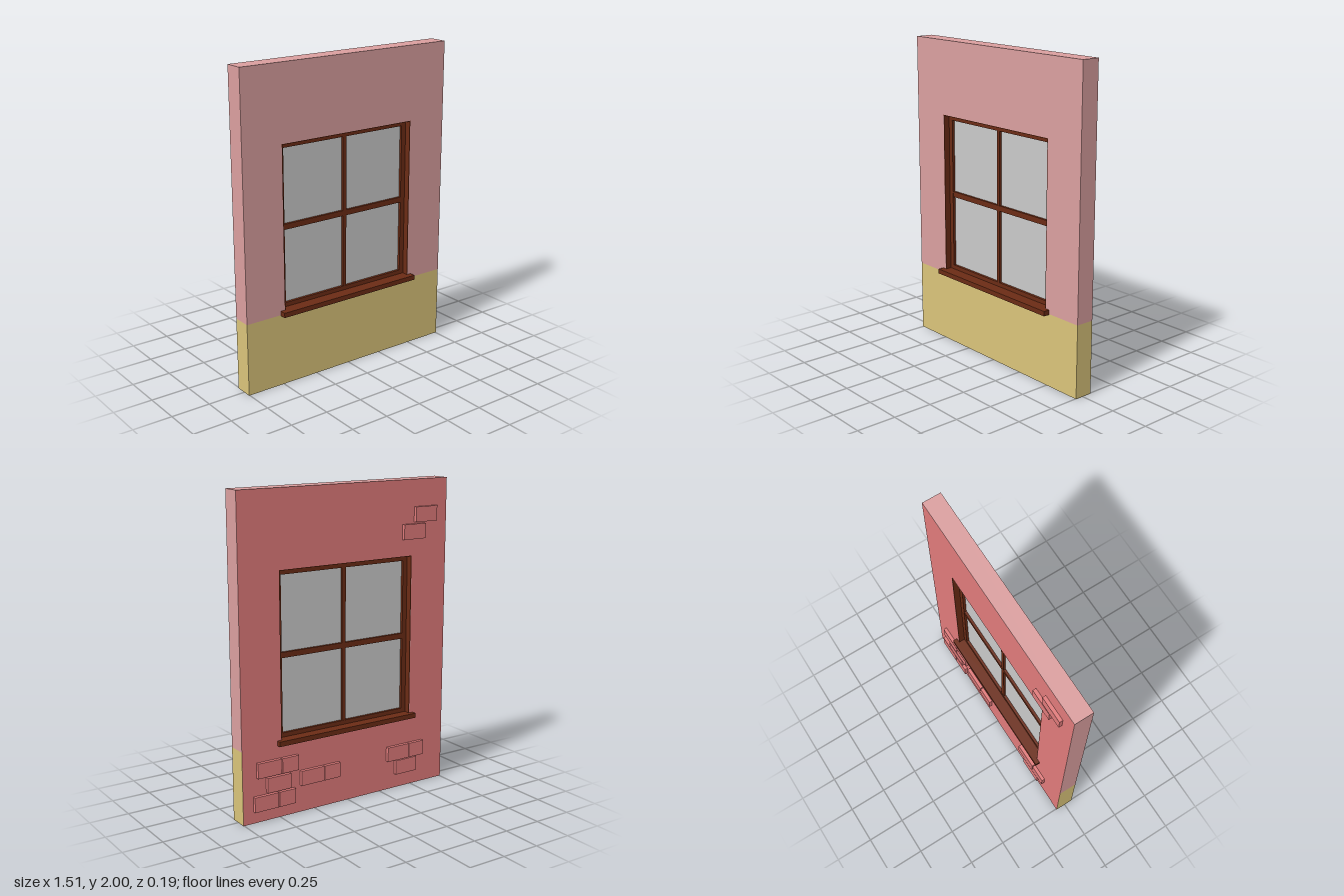
import * as THREE from 'three';

export function createModel() {
  const root = new THREE.Group();
  root.name = 'windowWall';
  const mat = (color, side = THREE.FrontSide) => new THREE.MeshStandardMaterial({ color, side });
  const plaster = mat(0xdca0a0);
  const plinthPaint = mat(0xdbc57b);
  const brickRed = mat(0xe27c7c);
  const wood = mat(0x6c2c15);
  const grey = mat(0xcccccc);

  const W = 0.755, H = 2, split = 0.465;
  const zBack = -0.065, zFront = 0.055;
  const open = { x: 0.485, y0: 0.49, y1: 1.525 };

  // box given by its extents
  function box(name, material, x0, x1, y0, y1, z0, z1, parent = root) {
    const m = new THREE.Mesh(new THREE.BoxGeometry(x1 - x0, y1 - y0, z1 - z0), material);
    m.position.set((x0 + x1) / 2, (y0 + y1) / 2, (z0 + z1) / 2);
    m.name = name;
    parent.add(m);
    return m;
  }

  // rectangle with the window opening cut out
  const rect = (T, x, y0, y1) => new T([[-x, y0], [x, y0], [x, y1], [-x, y1]]
    .map(([a, b]) => new THREE.Vector2(a, b)));
  function wallShape(y0) {
    const s = rect(THREE.Shape, W, y0, H);
    s.holes.push(rect(THREE.Path, open.x, open.y0, open.y1));
    return s;
  }

  // wall body: plastered upper part and painted plinth
  const upper = new THREE.Mesh(
    new THREE.ExtrudeGeometry(wallShape(split), { depth: zFront - zBack, bevelEnabled: false }), plaster);
  upper.position.z = zBack;
  upper.name = 'upperWall';
  root.add(upper);
  box('plinth', plinthPaint, -W, W, 0, split, zBack, zFront);

  // red skin over the whole rear face
  const rear = new THREE.Mesh(new THREE.ShapeGeometry(wallShape(0)), brickRed);
  rear.rotation.y = Math.PI;
  rear.position.z = zBack - 0.001;
  rear.name = 'rearFacing';
  root.add(rear);

  // window: reveal lining, frame, glazing bars, glass
  const win = new THREE.Group();
  win.name = 'window';
  root.add(win);
  const t = 0.004, f = 0.036, fz0 = -0.025, fz1 = 0.015;
  for (const s of [-1, 1]) {
    const side = (name, a, b, z0, z1) =>
      box(name, wood, Math.min(s * a, s * b), Math.max(s * a, s * b), open.y0, open.y1, z0, z1, win);
    side('revealLining', open.x - t, open.x, zBack, zFront);
    side('frameJamb', open.x - f, open.x - t, fz0, fz1);
  }
  const inner = open.x - f;
  box('headLining', wood, -open.x, open.x, open.y1 - t, open.y1, zBack, zFront, win);
  box('frameHead', wood, -inner, inner, open.y1 - f, open.y1 - t, fz0, fz1, win);
  box('frameBottom', wood, -inner, inner, open.y0, 0.518, fz0, fz1, win);
  box('mullion', wood, -0.013, 0.013, 0.518, open.y1 - f, fz0 + 0.002, fz1 - 0.002, win);
  box('transom', wood, -inner, inner, 0.985, 1.02, fz0 + 0.001, fz1 - 0.001, win);
  box('glass', grey, -inner, inner, 0.518, open.y1 - f, -0.008, -0.002, win);

  // sill running through the wall and projecting on both sides
  box('sill', wood, -0.513, 0.513, 0.46, 0.491, -0.095, 0.095);

  // exposed bricks on the rear: [left edge x, top y, width]
  const bricks = new THREE.Group();
  bricks.name = 'exposedBricks';
  root.add(bricks);
  const full = 0.165, part = 0.115;
  [
    [-0.5, 1.83, full], [-0.41, 1.725, full],
    [0.66, 0.38, full], [0.49, 0.38, part],
    [0.595, 0.275, full],
    [0.685, 0.17, full], [0.513, 0.17, part],
    [0.355, 0.27, full], [0.185, 0.27, part],
    [-0.302, 0.29, full], [-0.472, 0.29, part],
    [-0.367, 0.19, full],
  ].forEach(([x, y, w]) => box('brick', brickRed, x - w, x, y - 0.095, y, -0.088, zBack, bricks));

  return root;
}
